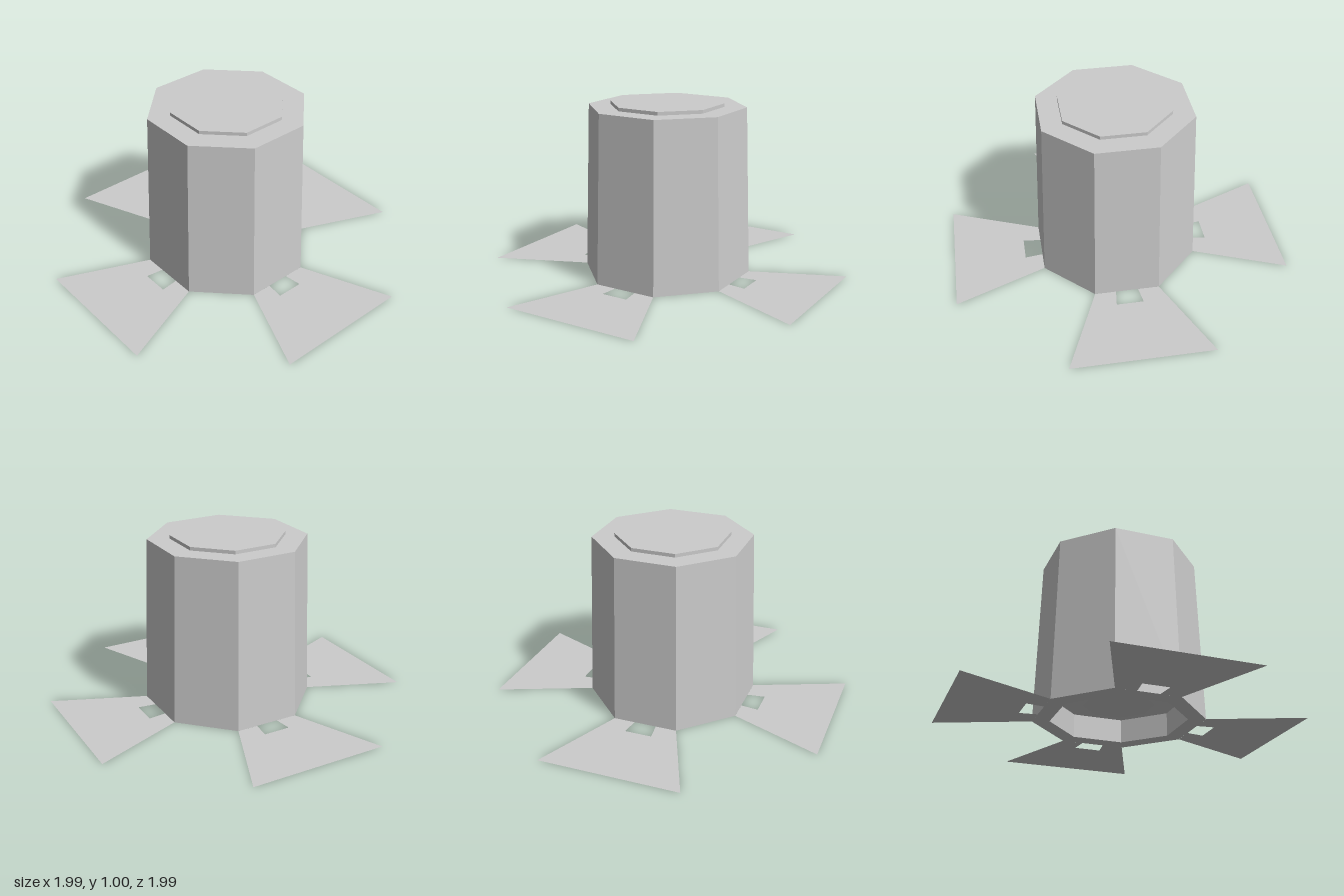
import * as THREE from 'three';

const TWIST = THREE.MathUtils.degToRad(2.3);
const material = new THREE.MeshStandardMaterial({ color: 0xcccccc, flatShading: true });
const sheetMaterial = new THREE.MeshStandardMaterial({
  color: 0xcccccc, flatShading: true, side: THREE.DoubleSide,
});

// Eight-sided solid of revolution from [radius, y] pairs, corners off the axes
function octagonLathe(name, profile) {
  const points = profile.map(([r, y]) => new THREE.Vector2(r, y));
  const mesh = new THREE.Mesh(new THREE.LatheGeometry(points, 8, Math.PI / 8), material);
  mesh.name = name;
  return mesh;
}

// Flat flaring flap, with a slot where it meets the body; shape y becomes +z
function makeFlapGeometry() {
  const half = [
    [0.065, 0.453], [0.1875, 0.453], [0.405, 0.978],
  ];
  const slot = [0.078, 0.556];
  const mirrored = half.map(([x, z]) => [-x, z]).reverse();
  const outline = [slot, ...half, ...mirrored, [-slot[0], slot[1]]];
  const shape = new THREE.Shape(outline.map(([x, z]) => new THREE.Vector2(x, -z)));
  return new THREE.ShapeGeometry(shape).rotateX(-Math.PI / 2);
}

export function createModel() {
  const model = new THREE.Group();
  model.name = 'octagonalPost';

  const core = new THREE.Group();
  core.name = 'core';
  core.rotation.y = TWIST;
  model.add(core);

  // Tapered body with a recessed underside
  core.add(octagonLathe('body', [
    [0.39, 0.14], [0.39, 0], [0.49, 0], [0.458, 0.98], [0, 0.98],
  ]));

  // Thin raised cap
  core.add(octagonLathe('cap', [[0.33, 0.98], [0.33, 1], [0, 1]]));

  // Shallow faceted dome inside the recess
  core.add(octagonLathe('undersideDome', [[0, 0.07], [0.2, 0.09], [0.39, 0.14]]));

  // Four flaps on the ground
  const flapGeometry = makeFlapGeometry();
  for (let i = 0; i < 4; i++) {
    const flap = new THREE.Mesh(flapGeometry, sheetMaterial);
    flap.name = `flap${i + 1}`;
    flap.rotation.y = (i * Math.PI) / 2;
    core.add(flap);
  }

  return model;
}
